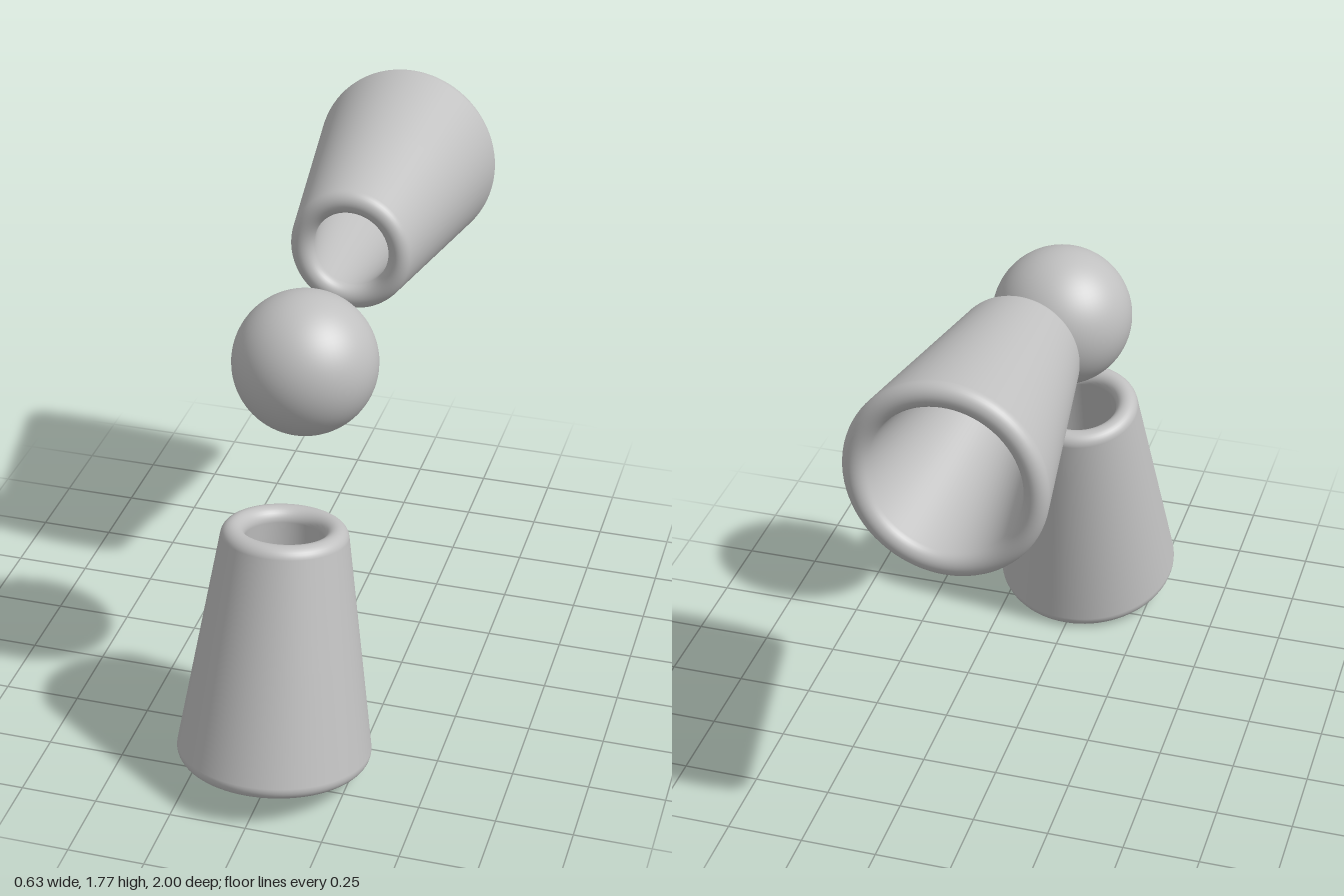
import * as THREE from 'three';

const grey = new THREE.MeshStandardMaterial({ color: 0xc0c0c0 });
grey.name = 'plain grey';

// Closed profile of a tapered tube wall with fully rounded rims.
function taperedTubeGeometry(wideRadius, narrowRadius, length, rim) {
  const slope = Math.atan2(wideRadius - narrowRadius, length);
  const points = [];
  const arc = (radius, y, start) => {
    for (let i = 0; i <= 16; i++) {
      const a = start + (Math.PI * i) / 16;
      points.push(new THREE.Vector2(radius + rim * Math.cos(a), y + rim * Math.sin(a)));
    }
  };
  arc(narrowRadius, length, slope);
  arc(wideRadius, 0, slope + Math.PI);
  points.push(points[0].clone());
  // start the loop in the middle of the outer wall so the seam stays smooth
  const last = points[points.length - 2];
  const middle = last.clone().lerp(points[0], 0.5);
  points.pop();
  return new THREE.LatheGeometry([middle, ...points, middle.clone()], 80);
}

export function createModel() {
  const model = new THREE.Group();
  const tube = taperedTubeGeometry(0.287, 0.172, 0.725, 0.04);

  // Two identical hollow cones, slightly oval, narrow ends towards the ball
  const addCone = (name, y, z, tilt) => {
    const cone = new THREE.Mesh(tube, grey);
    cone.name = name;
    cone.position.set(0, y, z);
    cone.rotation.x = tilt;
    cone.scale.x = 0.957;
    model.add(cone);
  };
  addCone('lowerHollowCone', 0.095, 0.678, THREE.MathUtils.degToRad(-11));
  addCone('upperHollowCone', 1.441, -0.96, Math.PI / 2);

  // Ball floating at the joint
  const ball = new THREE.Mesh(new THREE.SphereGeometry(0.231, 64, 40), grey);
  ball.name = 'jointBall';
  ball.position.set(0, 1.306, 0.302);
  model.add(ball);

  return model;
}
